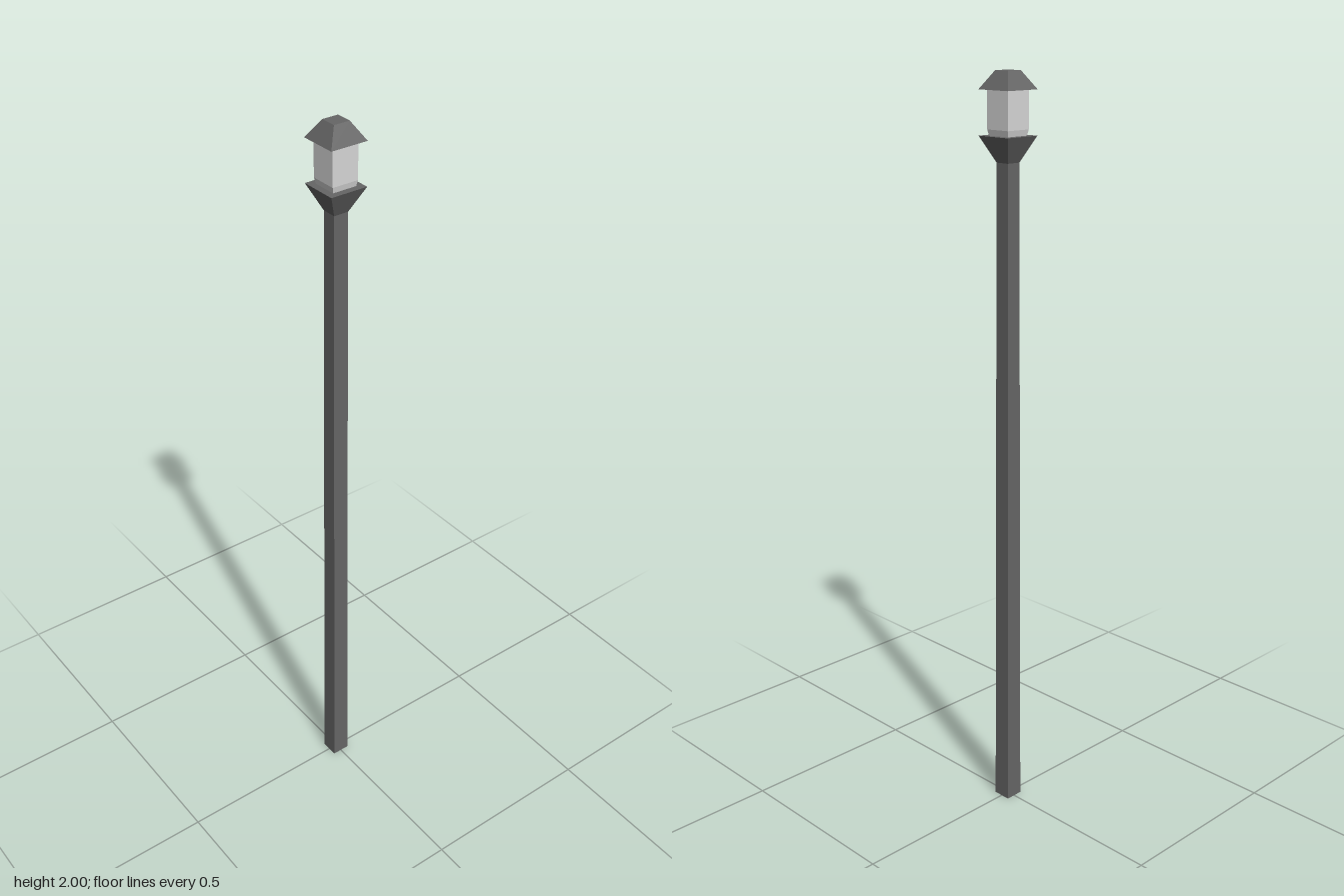
import * as THREE from 'three';

const metal = new THREE.MeshStandardMaterial({ color: 0x666666 });
metal.name = 'grey metal';
const glass = new THREE.MeshStandardMaterial({ color: 0xd6d6d6 });
glass.name = 'pale glass';

// Square frustum between two heights, given half widths at each end
function frustum(name, y0, y1, half0, half1, material) {
  const geometry = new THREE.CylinderGeometry(half1 * Math.SQRT2, half0 * Math.SQRT2, y1 - y0, 4)
    .rotateY(Math.PI / 4)
    .toNonIndexed();
  geometry.computeVertexNormals();
  const mesh = new THREE.Mesh(geometry, material);
  mesh.name = name;
  mesh.position.y = (y0 + y1) / 2;
  return mesh;
}

export function createModel() {
  const group = new THREE.Group();
  group.name = 'lampPost';
  group.add(
    // Slightly tapering square post
    frustum('post', 0, 1.78, 0.025, 0.02, metal),
    // Flared holder under the lantern
    frustum('collar', 1.78, 1.845, 0.02, 0.051, metal),
    // Glass lantern with a narrowed foot
    frustum('lanternFoot', 1.845, 1.86, 0.033, 0.036, glass),
    frustum('lantern', 1.86, 1.955, 0.036, 0.036, glass),
    // Hipped cap with a flat top
    frustum('cap', 1.955, 2, 0.051, 0.022, metal),
  );
  return group;
}
